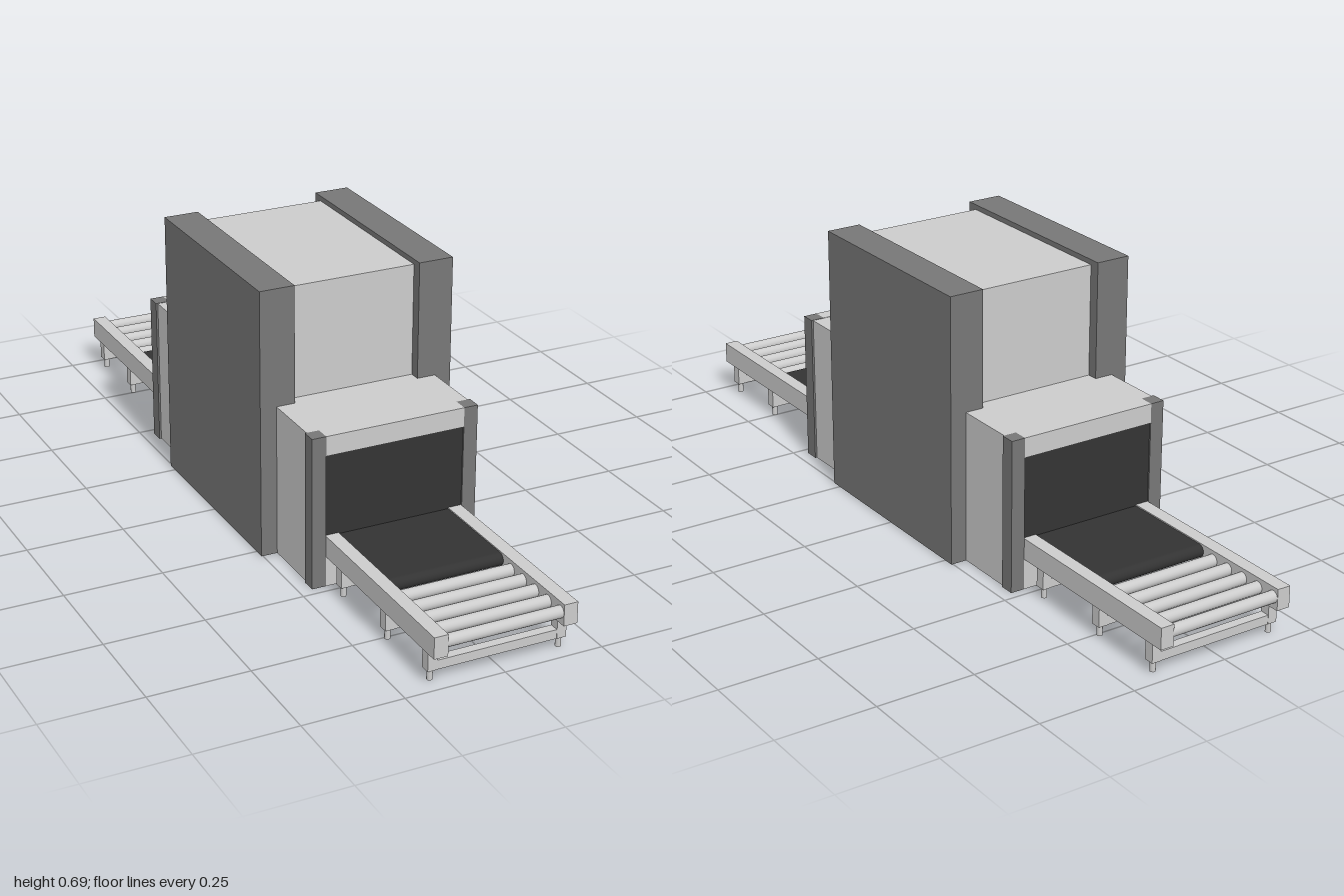
import * as THREE from 'three';

const light = new THREE.MeshStandardMaterial({ color: 0xcccccc });
const dark = new THREE.MeshStandardMaterial({ color: 0x777777 });
const black = new THREE.MeshStandardMaterial({ color: 0x333333 });

function add(parent, name, geometry, material, x = 0, y = 0, z = 0) {
  const mesh = new THREE.Mesh(geometry, material);
  mesh.name = name;
  mesh.position.set(x, y, z);
  parent.add(mesh);
  return mesh;
}

// Box given by its minimum and maximum on each axis
function box(parent, name, material, [x0, x1], [y0, y1], [z0, z1]) {
  return add(parent, name, new THREE.BoxGeometry(x1 - x0, y1 - y0, z1 - z0), material,
    (x0 + x1) / 2, (y0 + y1) / 2, (z0 + z1) / 2);
}

// Same box on the left (+x) and on the right (-x)
function pair(parent, name, material, [x0, x1], y, z) {
  box(parent, name + 'Left', material, [x0, x1], y, z);
  box(parent, name + 'Right', material, [-x1, -x0], y, z);
}

// Tunnel mouth: corner posts, lintel, sill and curtain
function createMouth() {
  const mouth = new THREE.Group();
  mouth.name = 'tunnelMouth';
  pair(mouth, 'cornerPost', dark, [0.181, 0.217], [0, 0.388], [0.44, 0.478]);
  box(mouth, 'lintel', light, [-0.181, 0.181], [0.338, 0.388], [0.44, 0.478]);
  box(mouth, 'sill', light, [-0.181, 0.181], [0, 0.1], [0.44, 0.478]);
  box(mouth, 'curtain', black, [-0.181, 0.181], [0.1, 0.338], [0.44, 0.474]);
  return mouth;
}

// Roller table with side rails, belt, rollers and legs
function createConveyor() {
  const table = new THREE.Group();
  table.name = 'conveyor';
  pair(table, 'rail', light, [0.146, 0.181], [0.078, 0.132], [0.474, 1]);

  // Flat belt with a rounded outer end
  const r = 0.016;
  const profile = new THREE.Shape();
  profile.moveTo(0.46, -r);
  profile.lineTo(0.735 - r, -r);
  profile.absarc(0.735 - r, 0, r, -Math.PI / 2, Math.PI / 2, false);
  profile.lineTo(0.46, r);
  profile.closePath();
  const belt = new THREE.ExtrudeGeometry(profile, { depth: 0.292, bevelEnabled: false, curveSegments: 10 });
  belt.translate(0, 0, -0.146);
  belt.rotateY(-Math.PI / 2);
  add(table, 'belt', belt, black, 0, 0.113, 0);

  const roller = new THREE.CylinderGeometry(0.015, 0.015, 0.294, 20).rotateZ(Math.PI / 2);
  for (let i = 0; i < 5; i++) add(table, 'roller', roller, light, 0, 0.108, 0.77 + i * 0.0535);

  // Leg frames: two uprights joined by a cross beam, each on a slim foot
  const foot = new THREE.CylinderGeometry(0.007, 0.007, 0.03, 12);
  for (const z of [0.536, 0.755, 0.952]) {
    pair(table, 'leg', light, [0.152, 0.176], [0.027, 0.08], [z - 0.013, z + 0.013]);
    box(table, 'crossBeam', light, [-0.152, 0.152], [0.027, 0.05], [z - 0.012, z + 0.012]);
    for (const side of [-1, 1]) add(table, 'foot', foot, light, side * 0.164, 0.015, z);
  }
  return table;
}

export function createModel() {
  const model = new THREE.Group();
  model.name = 'baggageScanner';

  // Main cabinet, tunnel housing and the two tall side panels
  box(model, 'cabinet', light, [-0.166, 0.166], [0.3, 0.672], [-0.25, 0.25]);
  box(model, 'tunnelHousing', light, [-0.212, 0.212], [0, 0.387], [-0.442, 0.442]);
  pair(model, 'sidePanel', dark, [0.164, 0.254], [0, 0.685], [-0.278, 0.278]);

  // Identical mouth and conveyor at the front and the back
  for (const turn of [0, Math.PI]) {
    const end = new THREE.Group();
    end.name = turn ? 'backEnd' : 'frontEnd';
    end.add(createMouth(), createConveyor());
    end.rotation.y = turn;
    model.add(end);
  }
  return model;
}
